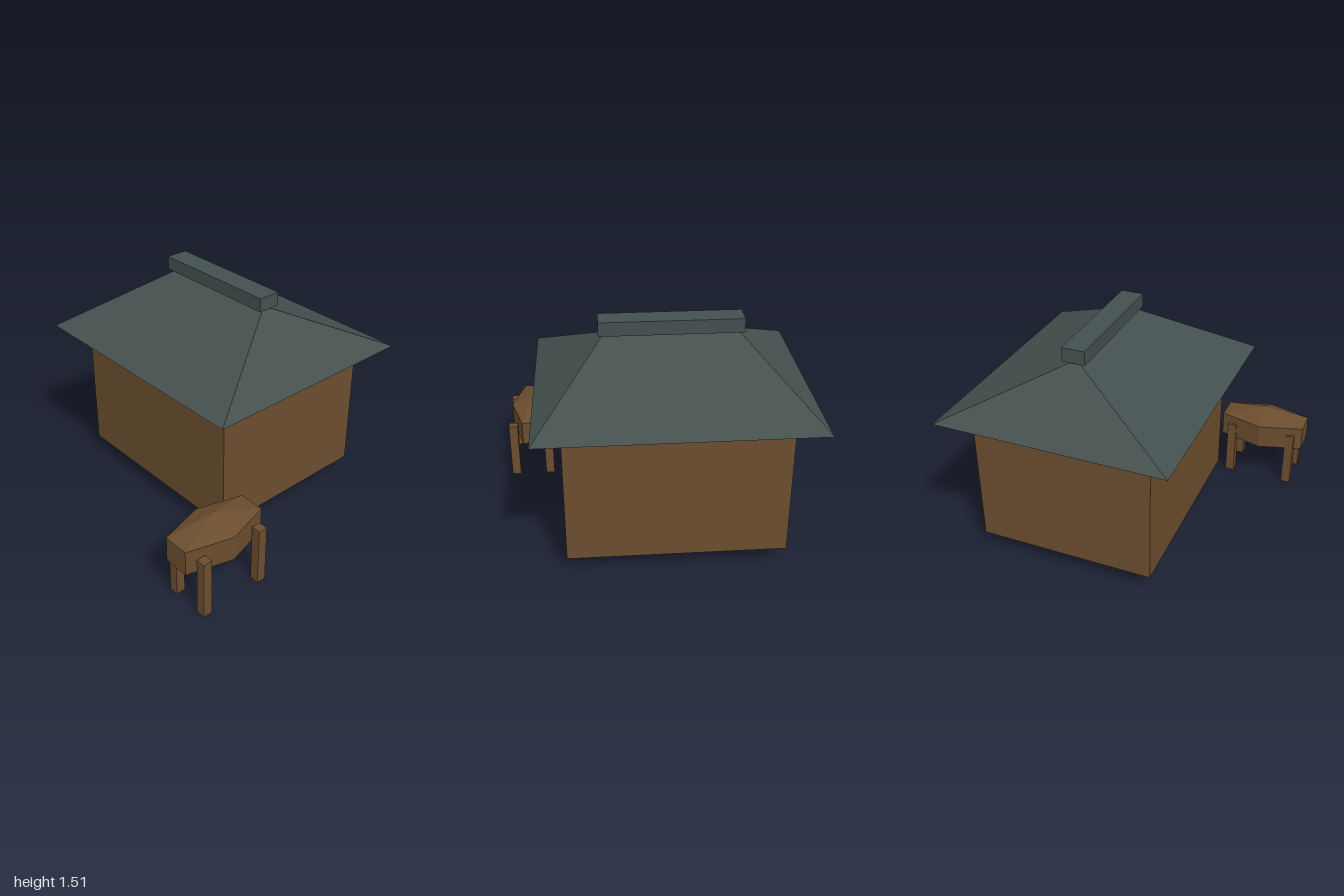
import * as THREE from 'three';

const wood = new THREE.MeshStandardMaterial({ color: 0x6b4d2e, flatShading: true, side: THREE.DoubleSide });
wood.name = 'brown wood';
const slate = new THREE.MeshStandardMaterial({ color: 0x44504f, flatShading: true, side: THREE.DoubleSide });
slate.name = 'dark slate';

function addMesh(parent, name, geometry, material, x, y, z) {
  const mesh = new THREE.Mesh(geometry, material);
  mesh.name = name;
  mesh.position.set(x, y, z);
  parent.add(mesh);
  return mesh;
}

// Four walls without floor or ceiling
function wallsGeometry(w, h, d) {
  const geo = new THREE.BoxGeometry(w, h, d);
  const index = Array.from(geo.index.array);
  index.splice(12, 12); // drop the top and bottom faces
  geo.setIndex(index);
  geo.clearGroups();
  return geo;
}

// Hipped roof shell, open below: four eave corners and two ridge ends
function hipRoofGeometry(halfW, halfD, halfRidge, h) {
  const corners = [
    [-halfW, 0, halfD], [halfW, 0, halfD], [halfW, 0, -halfD], [-halfW, 0, -halfD],
    [-halfRidge, h, 0], [halfRidge, h, 0],
  ];
  const faces = [0, 1, 5, 0, 5, 4, 1, 2, 5, 2, 3, 4, 2, 4, 5, 3, 0, 4];
  const geo = new THREE.BufferGeometry();
  geo.setAttribute('position', new THREE.Float32BufferAttribute(faces.flatMap((i) => corners[i]), 3));
  geo.computeVertexNormals();
  return geo;
}

export function createModel() {
  const model = new THREE.Group();
  model.name = 'stable';

  // House
  const house = new THREE.Group();
  house.name = 'house';
  house.position.set(-0.123, 0, -0.204);
  addMesh(house, 'walls', wallsGeometry(1.4, 0.92, 1.19), wood, 0, 0.59, 0);
  addMesh(house, 'roof', hipRoofGeometry(0.875, 0.767, 0.41, 0.37), slate, 0, 1.05, 0);
  addMesh(house, 'ridgeCap', new THREE.BoxGeometry(0.913, 0.092, 0.154), slate, 0, 1.463, 0);
  model.add(house);

  // Animal: faceted body on four square legs
  const animal = new THREE.Group();
  animal.name = 'animal';
  const body = addMesh(animal, 'body', new THREE.SphereGeometry(1, 6, 3), wood, 0.81, 0.378, 0.67);
  body.scale.set(0.2, 0.17, 0.402);
  for (const x of [0.714, 0.967]) {
    for (const z of [0.451, 0.888]) {
      addMesh(animal, 'leg', new THREE.BoxGeometry(0.063, 0.405, 0.063), wood, x, 0.2025, z);
    }
  }
  model.add(animal);
  return model;
}
